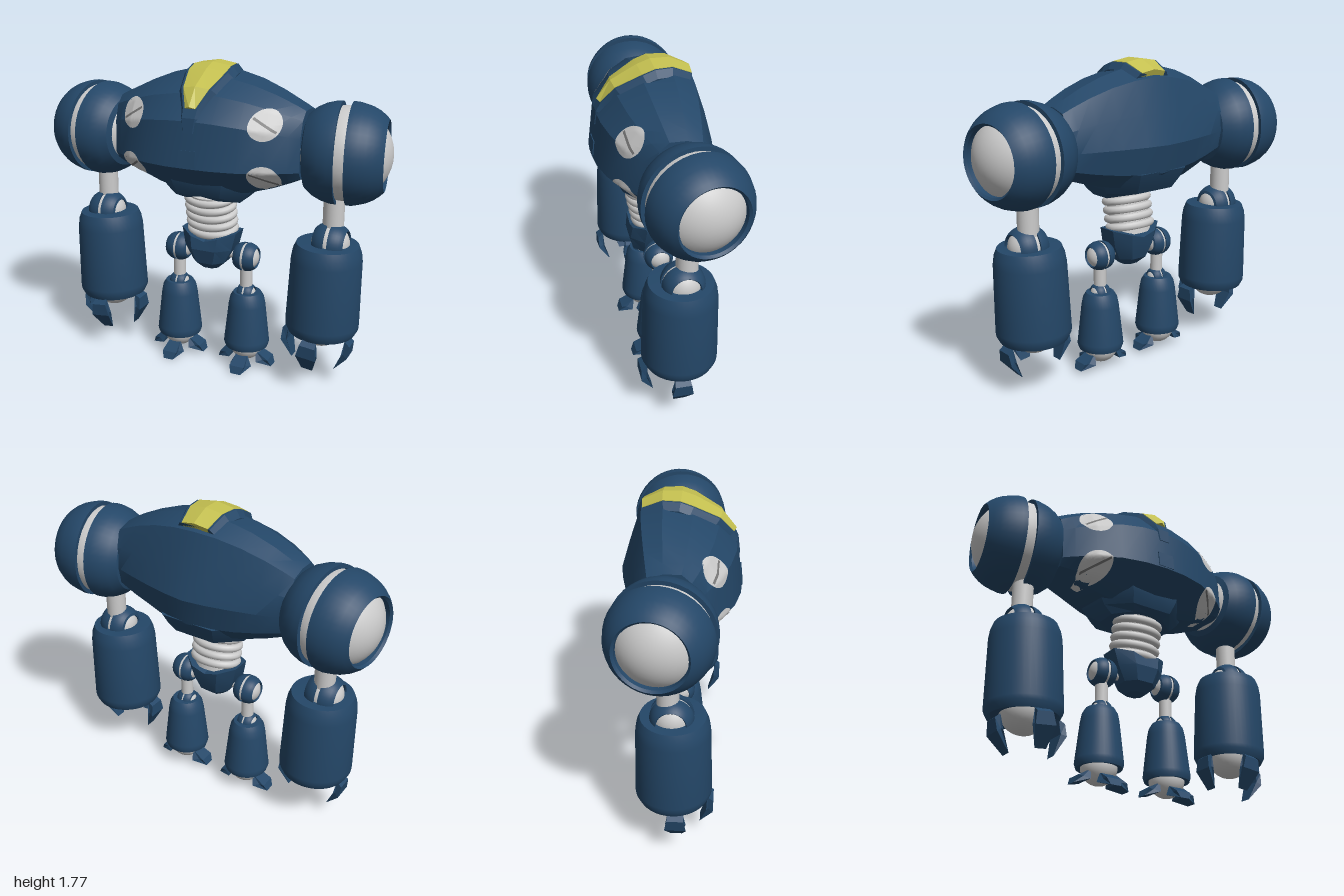
import * as THREE from 'three';
import { toCreasedNormals } from 'three/addons/utils/BufferGeometryUtils.js';

const mat = (color) => new THREE.MeshStandardMaterial({ color, side: THREE.DoubleSide });

// Closed solid through rings of [x, y, z] points, wound outwards
function loft(rings, crease = 0.35) {
  const n = rings[0].length, pos = rings.flat(2), idx = [];
  const tri = (a, b, c) => idx.push(a, b, c);
  for (let i = 0; i < rings.length - 1; i++)
    for (let j = 0; j < n; j++) {
      const a = i * n + j, b = i * n + (j + 1) % n;
      tri(a, b, b + n);
      tri(a, b + n, a + n);
    }
  for (const end of [0, rings.length - 1]) {
    const c = pos.length / 3;
    for (let k = 0; k < 3; k++) pos.push(rings[end].reduce((s, p) => s + p[k], 0) / n);
    for (let j = 0; j < n; j++) {
      const a = end * n + j, b = end * n + (j + 1) % n;
      end ? tri(a, b, c) : tri(b, a, c);
    }
  }
  const v = (i) => new THREE.Vector3().fromArray(pos, i * 3);
  let volume = 0;
  for (let i = 0; i < idx.length; i += 3) volume += v(idx[i]).dot(v(idx[i + 1]).cross(v(idx[i + 2])));
  if (volume < 0) idx.reverse();
  const g = new THREE.BufferGeometry();
  g.setAttribute('position', new THREE.Float32BufferAttribute(pos, 3));
  g.setIndex(idx);
  return toCreasedNormals(g, crease);
}

const lathe = (pts, seg = 36) =>
  toCreasedNormals(new THREE.LatheGeometry(pts.map((p) => new THREE.Vector2(...p)), seg), 0.5);

// Chamfered ring at height y
function chamferRing(y, w, zBack, zFront, lift = 0) {
  const zc = (zBack + zFront) / 2, d = (zFront - zBack) / 2;
  return [[1, 0.45], [0.5, 1], [0, 1], [-0.5, 1], [-1, 0.45], [-1, -0.45], [-0.5, -1], [0, -1], [0.5, -1], [1, -0.45]]
    .map(([x, z]) => [x * w, y + lift * (1 - Math.abs(x)), zc + z * d]);
}

// Strip along stations [z, y, half width]; section(w) gives [x, depth along the strip's normal]
function strip(rows, section) {
  return loft(rows.map(([z, y, w], i) => {
    const a = rows[Math.max(i - 1, 0)], b = rows[Math.min(i + 1, rows.length - 1)];
    const l = Math.hypot(b[0] - a[0], b[1] - a[1]), nz = (a[1] - b[1]) / l, ny = (b[0] - a[0]) / l;
    return section(w).map(([x, d]) => [x, y - ny * d, z - nz * d]);
  }), 0.15);
}

export function createModel() {
  const root = new THREE.Group();
  const blue = mat(0x244768), grey = mat(0xcccccc), yellow = mat(0xc4c050), shade = mat(0x777777);

  const add = (parent, name, geo, material, x = 0, y = 0, z = 0) => {
    const m = new THREE.Mesh(geo, material);
    m.name = name;
    m.position.set(x, y, z);
    parent.add(m);
    return m;
  };
  const group = (name, x = 0, y = 0, z = 0) => {
    const g = new THREE.Group();
    g.name = name;
    g.position.set(x, y, z);
    root.add(g);
    return g;
  };

  // Torso: cross-sections [z, y] blended from the middle to the shoulders
  const mid = [[.33, 1.25], [.3, 1.5], [.2, 1.63], [.065, 1.71], [-.1, 1.735], [-.22, 1.68],
    [-.28, 1.5], [-.33, 1.33], [-.29, 1.17], [-.21, 1.08], [.12, 1.06], [.2, 1.12]];
  const end = [[.12, 1.24], [.11, 1.42], [.08, 1.51], [.03, 1.555], [-.06, 1.555], [-.14, 1.53],
    [-.19, 1.44], [-.2, 1.33], [-.18, 1.24], [-.1, 1.19], [.04, 1.19], [.09, 1.2]];
  const stations = [-.555, -.5, -.4, -.27, -.13, 0, .13, .27, .4, .5, .555];
  const torso = add(root, 'torso', loft(stations.map((x) => {
    const t = Math.abs(x) / 0.555;
    return mid.map(([z, y], i) => [x, y + (end[i][1] - y) * t ** 1.9, z + (end[i][0] - z) * t ** (z > 0 ? 2.4 : 1.4)]);
  })), blue);
  torso.updateMatrixWorld();

  // Lays a flat geometry against the front of the torso
  const ray = new THREE.Raycaster();
  const conform = (geo, x, y, gap) => {
    const p = geo.attributes.position;
    for (let i = 0; i < p.count; i++) {
      const px = p.getX(i) + x, py = p.getY(i) + y;
      ray.set(new THREE.Vector3(px, py, 2), new THREE.Vector3(0, 0, -1));
      const hit = ray.intersectObject(torso)[0];
      p.setXYZ(i, px, py, (hit ? hit.point.z : 0) + gap);
    }
    geo.computeVertexNormals();
    return geo;
  };

  // Round ports with a slot
  for (const s of [-1, 1])
    for (const y of [1.495, 1.205]) {
      add(root, 'port', conform(new THREE.RingGeometry(0, 0.08, 32, 6), s * 0.39, y, 0.004), grey);
      const slot = new THREE.PlaneGeometry(0.14, 0.012, 12, 1).rotateZ(s * -0.55);
      add(root, 'portSlot', conform(slot, s * 0.39, y, 0.008), shade);
    }

  // Crest, its frame and the chest latch
  const crest = [[-.21, 1.715, .08], [-.1, 1.765, .1], [0, 1.765, .11], [.07, 1.74, .11], [.21, 1.665, .075], [.285, 1.57, .03]];
  add(root, 'crest', strip(crest, (w) => [[-w, 0.008], [0, -0.008], [w, 0.008], [w, 0.08], [-w, 0.08]]), yellow);
  add(root, 'crestFrame', strip([...crest, [.312, 1.52, .025], [.322, 1.44, .015]],
    (w) => [[-w - 0.04, 0.05], [-w - 0.012, 0.011], [w + 0.012, 0.011], [w + 0.04, 0.05], [w + 0.03, 0.1], [-w - 0.03, 0.1]]), blue);
  add(root, 'chestLatch', new THREE.BoxGeometry(0.1, 0.09, 0.06), blue, 0, 1.3, 0.297).rotation.x = -0.1;

  // Skirt under the torso
  add(root, 'skirt', loft([chamferRing(1.015, .2, -.12, .14, .03), chamferRing(1.06, .25, -.22, .18),
    chamferRing(1.12, .29, -.26, .21), chamferRing(1.18, .32, -.29, .22)]), blue);

  // Coiled waist, leaning forward
  const waist = group('waist', 0, 0.91, 0.01);
  waist.rotation.x = 0.2;
  waist.scale.z = 0.8;
  add(waist, 'waistCore', new THREE.CylinderGeometry(0.125, 0.125, 0.28, 32), grey);
  for (let i = 0; i < 5; i++)
    add(waist, 'waistCoil', new THREE.TorusGeometry(0.132, 0.022, 10, 36).rotateX(Math.PI / 2), grey, 0, i * 0.05 - 0.09, 0);

  // Pelvis
  add(root, 'pelvis', loft([chamferRing(.59, .05, -.04, .06), chamferRing(.635, .1, -.09, .11), chamferRing(.72, .145, -.12, .13),
    chamferRing(.82, .168, -.13, .12, -.05)]), blue);
  const axle = add(root, 'hipAxle', new THREE.CylinderGeometry(0.025, 0.025, 0.42, 16), grey, 0, 0.68, 0);
  axle.rotation.z = Math.PI / 2;

  // Ball joint: grey core, two blue shells with a gap between, open ends
  const core = new THREE.SphereGeometry(0.25, 36, 24);
  const outerShell = lathe([[.25, .027], [.272, .027], [.272, .055], [.264, .09], [.252, .13], [.234, .165], [.21, .197], [.188, .217], [.176, .205], [.175, .17]], 40);
  const innerShell = lathe([[.16, -.18], [.165, -.207], [.2, -.196], [.234, -.157], [.257, -.11], [.27, -.06], [.272, -.027], [.25, -.027]], 40);
  const ballJoint = (name, s, r, x, y, z, yaw = 0) => {
    const g = group(name, x, y, z);
    add(g, name + 'Core', core, grey);
    add(g, name + 'OuterShell', outerShell, blue);
    add(g, name + 'InnerShell', innerShell, blue);
    g.rotation.set(0, s * yaw, -s * Math.PI / 2, 'YXZ');
    g.scale.setScalar(r / 0.272);
  };

  // Claw: profile [distance, y] with a half width at each corner, pointing +z
  const claw = (rows) => loft([-1, 1].map((k) => rows.map(([d, y, w]) => [k * w, y, d])), 0.1);
  const finger = claw([[.165, .095, .04], [.198, .07, .045], [.196, 0, .058], [.125, -.1, .032], [.16, .01, .055]]);
  const toe = claw([[.07, .085, .035], [.15, .04, .045], [.168, 0, .03], [.085, .025, .065]]);
  const addClaws = (parent, name, geo, sideLift) => [-1, 0, 1].forEach((k) => {
    add(parent, name, geo, blue, 0, Math.abs(k) * sideLift, 0).rotation.y = k * Math.PI / 2;
  });

  const forearm = lathe([[0, -.5], [.17, -.5], [.188, -.52], [.205, -.485], [.206, -.46], [.196, -.09], [.188, -.04], [.172, 0], [0, .01]], 40);
  const shin = lathe([[0, .14], [.11, .13], [.125, .125], [.133, .15], [.131, .17], [.107, .385], [.098, .43], [.08, .46], [0, .465]], 36);

  for (const s of [-1, 1]) {
    const side = s > 0 ? 'left' : 'right';

    // Arm
    ballJoint(side + 'Shoulder', s, 0.275, s * 0.75, 1.33, -0.055, 0.155);
    add(root, side + 'UpperArm', new THREE.CylinderGeometry(0.058, 0.058, 0.26, 24), grey, s * 0.71, 0.98, -0.03);
    ballJoint(side + 'Elbow', s, 0.115, s * 0.705, 0.83, -0.01);
    add(root, side + 'Forearm', forearm, blue, s * 0.692, 0.83, -0.005).rotation.z = -s * 0.03;
    const hand = group(side + 'Hand', s * 0.657, 0.22, 0.012);
    hand.rotation.z = -s * 0.11;
    add(hand, 'wristBall', new THREE.SphereGeometry(0.13, 32, 20), grey, s * 0.005, 0.135, -0.012);
    addClaws(hand, 'finger', finger, -0.005);

    // Leg
    ballJoint(side + 'Hip', s, 0.083, s * 0.212, 0.675, 0);
    add(root, side + 'Thigh', new THREE.CylinderGeometry(0.036, 0.036, 0.18, 20), grey, s * 0.215, 0.56, 0);
    ballJoint(side + 'Knee', s, 0.06, s * 0.215, 0.45, 0);
    add(root, side + 'Shin', shin, blue, s * 0.22, 0, -0.005);
    const foot = group(side + 'Foot', s * 0.22, 0, -0.007);
    add(foot, 'ankleBall', new THREE.SphereGeometry(0.1, 28, 18), grey, 0, 0.135, 0);
    addClaws(foot, 'toe', toe, 0.022);
  }
  return root;
}
